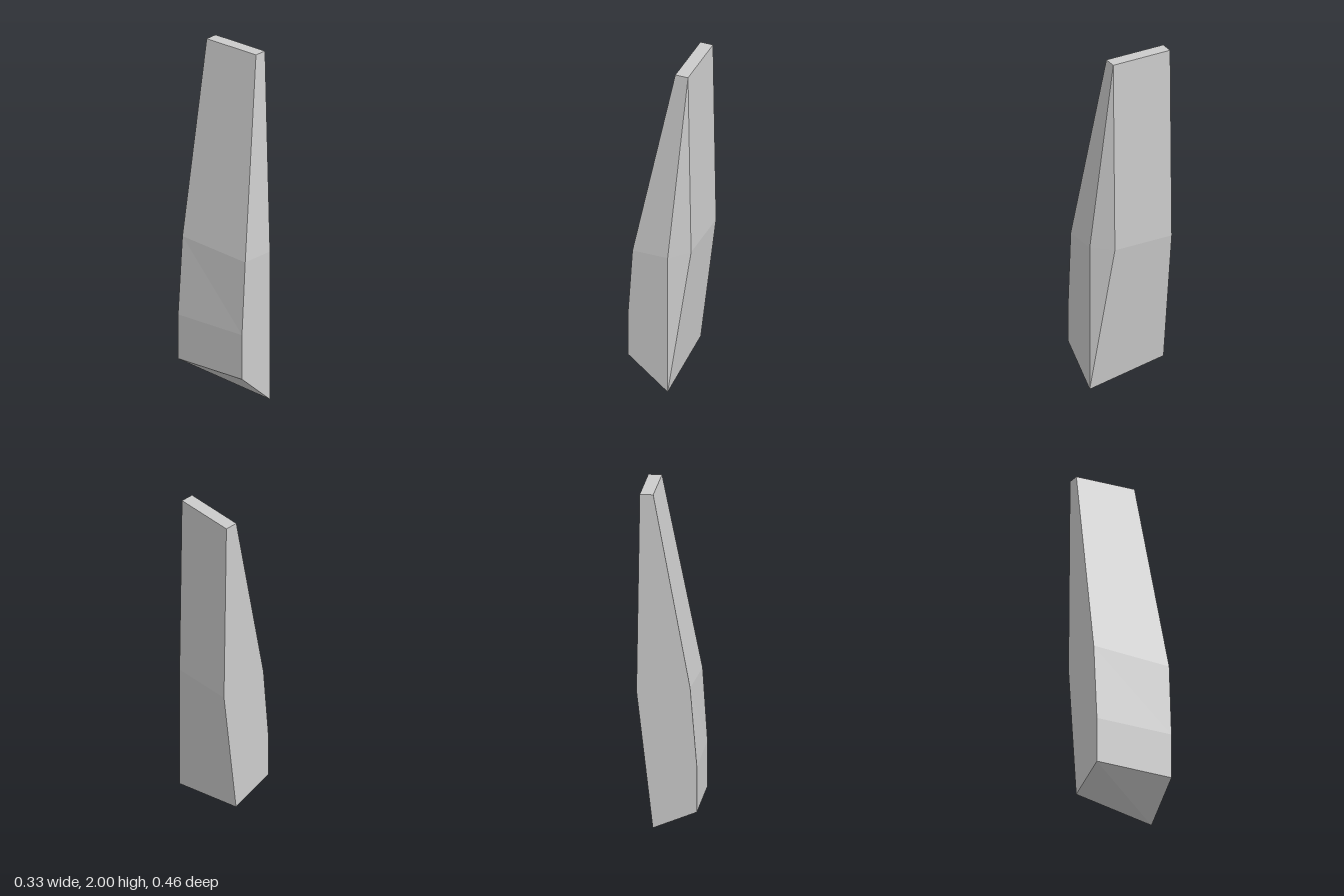
import * as THREE from 'three';

// Matching outlines, clockwise from the front: top pair, right bulge, lower tip, left side
const FRONT = [
  [0.07, 2, 0.127], [0.145, 2, 0.127], [0.163, 0.87, 0.127], [0.067, 0, 0.23],
  [-0.167, 0.19, 0.23], [-0.167, 0.45, 0.23], [-0.14, 0.87, 0.23],
];
const BACK = [
  [0.073, 2, -0.23], [0.147, 2, -0.23], [0.165, 0.87, -0.23], [0.075, 0.09, -0.23],
  [-0.167, 0.19, -0.23], [-0.167, 0.45, -0.23], [-0.13, 0.9, -0.23],
];
const RIDGE = [0.067, 0.87, 0.23]; // where the front facets meet
const BACK_CENTRE = [0.03, 0.87, -0.23];

function shardGeometry() {
  const positions = [];
  const tri = (a, b, c) => positions.push(...a, ...b, ...c);
  const n = FRONT.length;
  for (let i = 0; i < n; i++) {
    const j = (i + 1) % n;
    // front facets and flat back
    tri(RIDGE, FRONT[j], FRONT[i]);
    tri(BACK_CENTRE, BACK[i], BACK[j]);
    // side wall between the outlines
    tri(FRONT[i], FRONT[j], BACK[j]);
    tri(FRONT[i], BACK[j], BACK[i]);
  }
  const geometry = new THREE.BufferGeometry();
  geometry.setAttribute('position', new THREE.Float32BufferAttribute(positions, 3));
  geometry.computeVertexNormals();
  return geometry;
}

export function createModel() {
  const group = new THREE.Group();
  group.name = 'stoneShard';
  const material = new THREE.MeshStandardMaterial({ color: 0xcccccc, flatShading: true });
  const shard = new THREE.Mesh(shardGeometry(), material);
  shard.name = 'shard';
  group.add(shard);
  return group;
}
